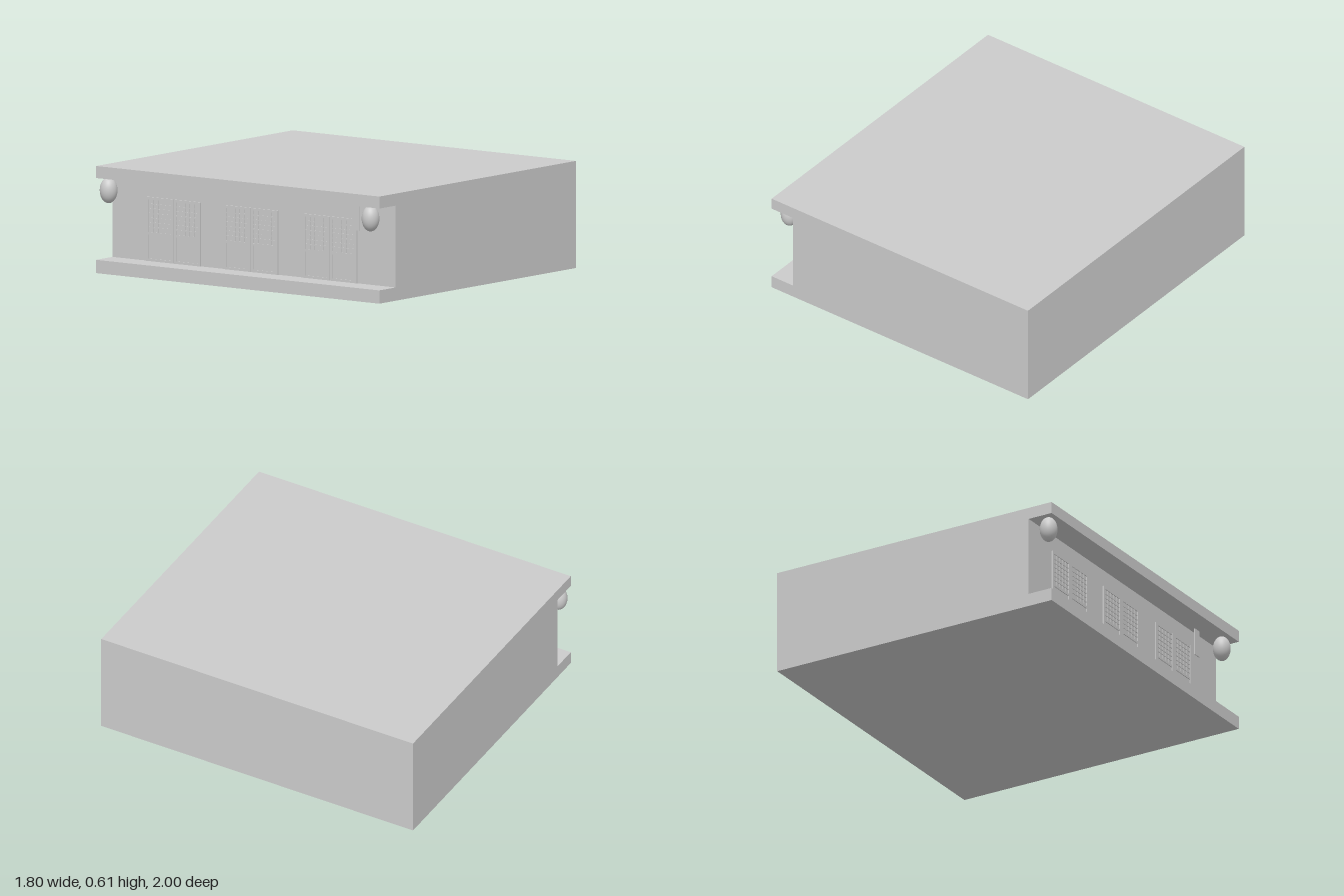
import * as THREE from 'three';

const material = new THREE.MeshStandardMaterial({ color: 0xcccccc });

function add(parent, name, geometry, x = 0, y = 0, z = 0) {
  const mesh = new THREE.Mesh(geometry, material);
  mesh.name = name;
  mesh.position.set(x, y, z);
  parent.add(mesh);
  return mesh;
}

const WALL = -0.75, FLOOR = 0.075, CEILING = 0.537, HEIGHT = 0.605;

// Box standing on the wall face: depth out of the wall, y range, z centre and width
function wallBox(parent, name, depth, y0, y1, z, width) {
  add(parent, name, new THREE.BoxGeometry(depth, y1 - y0, width), WALL - depth / 2, (y0 + y1) / 2, z);
}

// Sliding door: framed panel, solid below and latticed above
function createDoor(z) {
  const door = new THREE.Group();
  door.name = 'slidingDoor';
  const w = 0.19, top = 0.437, mid = 0.225, stile = 0.018;
  wallBox(door, 'doorPanel', 0.003, FLOOR, top, z, w);
  for (const s of [-1, 1]) wallBox(door, 'doorStile', 0.008, FLOOR, top, z + s * (w - stile) / 2, stile);
  for (const y of [FLOOR, mid, top - 0.014]) wallBox(door, 'doorRail', 0.0075, y, y + 0.014, z, w - stile);
  for (let i = 1; i <= 4; i++) {
    wallBox(door, 'latticeUpright', 0.006, mid, top, z - w / 2 + stile + i * (w - 2 * stile) / 5, 0.006);
  }
  for (let i = 1; i <= 6; i++) {
    const y = mid + 0.014 + i * (top - mid - 0.028) / 7;
    wallBox(door, 'latticeBar', 0.0065, y - 0.003, y + 0.003, z, w - stile);
  }
  return door;
}

export function createModel() {
  const model = new THREE.Group();
  model.name = 'building';

  // Body: C-shaped section with a recessed veranda, run along z
  const section = new THREE.Shape([
    [-0.9, 0], [0.9, 0], [0.9, HEIGHT], [-0.9, HEIGHT],
    [-0.9, CEILING], [WALL, CEILING], [WALL, FLOOR], [-0.9, FLOOR],
  ].map(([x, y]) => new THREE.Vector2(x, y)));
  const body = new THREE.ExtrudeGeometry(section, { depth: 2, bevelEnabled: false });
  add(model, 'body', body, 0, 0, -1);

  // Three pairs of doors
  for (const z of [-0.565, -0.02, 0.54]) {
    for (const s of [-1, 1]) model.add(createDoor(z + s * 0.096));
  }

  // Egg-shaped lanterns under the eave
  for (const z of [-0.95, 0.9]) {
    const lantern = add(model, 'lantern', new THREE.SphereGeometry(1, 32, 20), -0.85, 0.467, z);
    lantern.scale.set(0.05, 0.073, 0.05);
  }

  // Thin hanging sign board
  add(model, 'hangingBoard', new THREE.BoxGeometry(0.005, CEILING - 0.378, 0.05), -0.782, (CEILING + 0.378) / 2, 0.745);

  return model;
}
